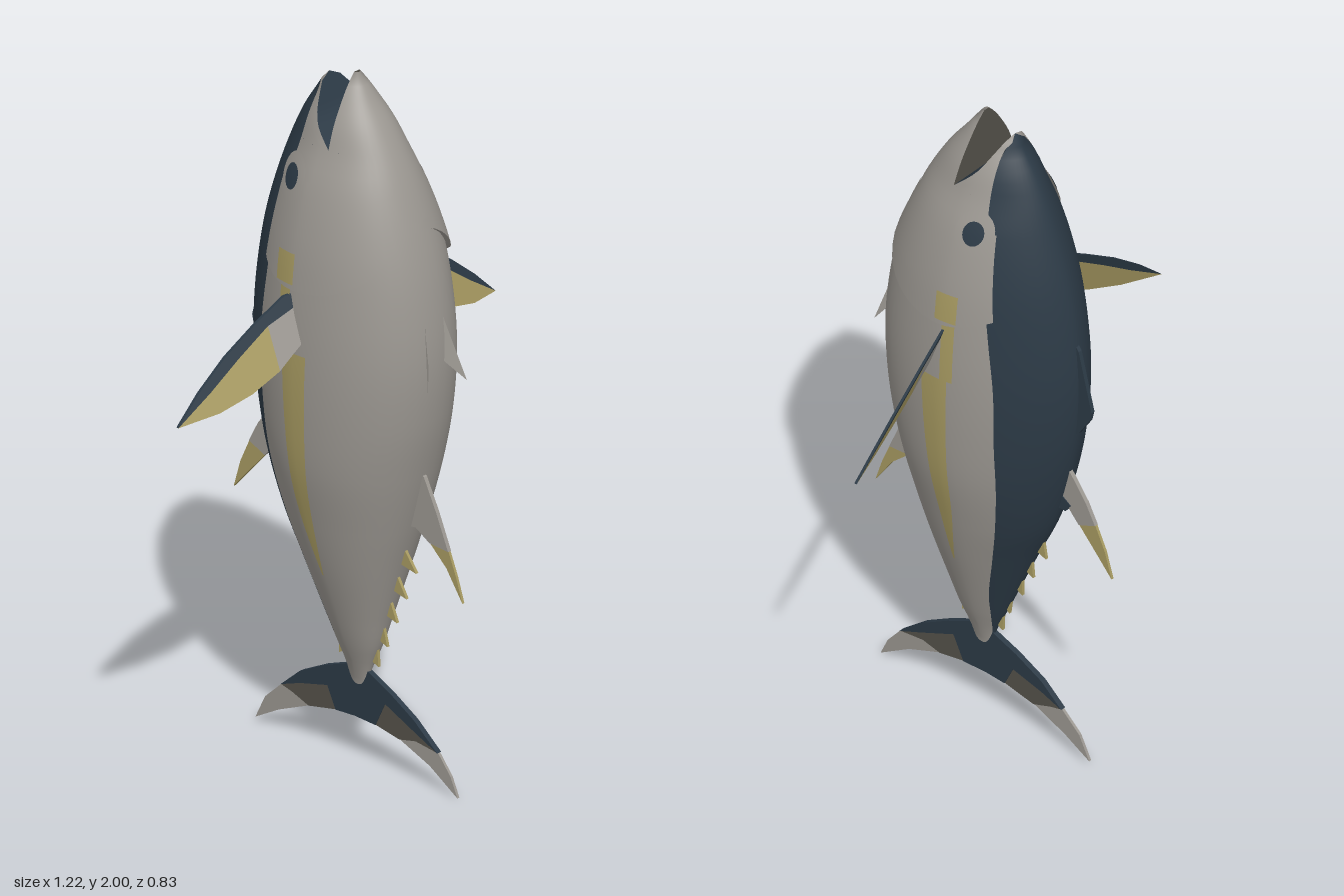
import * as THREE from 'three';

const mat = (name, color, side = THREE.FrontSide) => {
  const m = new THREE.MeshStandardMaterial({ color, side });
  m.name = name;
  return m;
};

// Smooth lookup through rows of [y, value, value, ...]
function table(rows) {
  const n = rows[0].length - 1;
  const f = new THREE.CubicInterpolant(rows.map(r => r[0]), rows.flatMap(r => r.slice(1)), n);
  return y => Array.from(f.evaluate(THREE.MathUtils.clamp(y, rows[0][0], rows[rows.length - 1][0])));
}

// Body sections: y, back z, belly z, half width, z where the dark back ends
const section = table([
  [0.22, 0.01, 0.065, 0.006, 0.012], [0.27, 0, 0.078, 0.02, 0.003], [0.36, -0.04, 0.115, 0.053, -0.015],
  [0.44, -0.075, 0.14, 0.08, -0.03], [0.6, -0.145, 0.19, 0.132, -0.075], [0.73, -0.205, 0.23, 0.168, -0.11],
  [0.9, -0.257, 0.275, 0.207, -0.14], [1.06, -0.288, 0.308, 0.223, -0.148], [1.24, -0.3, 0.322, 0.227, -0.15],
  [1.42, -0.285, 0.306, 0.217, -0.13], [1.56, -0.257, 0.275, 0.2, -0.11], [1.71, -0.21, 0.222, 0.163, -0.09],
  [1.8, -0.175, 0.178, 0.126, -0.075], [1.87, -0.14, 0.135, 0.1, -0.07], [1.93, -0.1, 0.09, 0.068, -0.068],
  [1.97, -0.07, 0.062, 0.042, -0.07], [2, 0.02, 0.04, 0.01, 0.03],
]);
const power = t => (t < 0 ? 1.68 : 2.12); // keeled back, fuller belly

function level(x, y, z) {
  const [b, f, w] = section(y);
  const t = (2 * z - b - f) / (f - b), p = power(t);
  return Math.pow(Math.abs(x) / w, p) + Math.pow(Math.abs(t), p);
}
function halfWidth(y, z) {
  const [b, f, w] = section(y);
  const t = THREE.MathUtils.clamp((2 * z - b - f) / (f - b), -1, 1), p = power(t);
  return w * Math.pow(Math.max(0, 1 - Math.pow(Math.abs(t), p)), 1 / p);
}
function skinNormal(x, y, z) {
  const e = 0.001;
  return new THREE.Vector3(
    level(x + e, y, z) - level(x - e, y, z),
    (level(x, y + e, z) - level(x, y - e, z)) * (y > 1.97 || y < 0.23 ? 0.5 : 1),
    level(x, y, z + e) - level(x, y, z - e)).normalize();
}

// Grid geometry from a point function
function grid(nu, nv, flip, point) {
  const pos = [], nor = [], idx = [];
  for (let j = 0; j <= nv; j++) for (let i = 0; i <= nu; i++) {
    const { p, n } = point(i / nu, j / nv);
    pos.push(p.x, p.y, p.z);
    if (n) nor.push(n.x, n.y, n.z);
  }
  for (let j = 0; j < nv; j++) for (let i = 0; i < nu; i++) {
    const a = j * (nu + 1) + i, b = a + 1, c = a + nu + 1, d = c + 1;
    if (flip) idx.push(a, b, c, b, d, c);
    else idx.push(a, c, b, b, c, d);
  }
  const g = new THREE.BufferGeometry();
  g.setAttribute('position', new THREE.Float32BufferAttribute(pos, 3));
  g.setIndex(idx);
  if (nor.length) g.setAttribute('normal', new THREE.Float32BufferAttribute(nor, 3));
  else g.computeVertexNormals();
  return g;
}

export function createModel() {
  const root = new THREE.Group();
  root.name = 'fish';
  const two = THREE.DoubleSide;
  const silver = mat('silver', 0x9c9892), navy = mat('navy', 0x2c3a46);
  const yellow = mat('yellow', 0xa89b62, two), olive = mat('olive', 0x55524a, two);
  const finSilver = silver, lerp = THREE.MathUtils.lerp;
  silver.side = two;
  navy.side = two;

  const add = (name, geo, m) => {
    const mesh = new THREE.Mesh(geo, m);
    mesh.name = name;
    root.add(mesh);
    return mesh;
  };

  // Skin patch on both flanks; at(u, v) gives [y, z, lift]
  function skin(name, m, nu, nv, at, smooth = true) {
    for (const s of [1, -1]) {
      add(name, grid(nu, nv, s < 0, (u, v) => {
        const [y, z0, lift = 0] = at(u, v);
        const [b, f] = section(y);
        const z = THREE.MathUtils.clamp(z0, b, f), x = s * halfWidth(y, z);
        const n = skinNormal(x, y, z);
        return { p: new THREE.Vector3(x, y, z).addScaledVector(n, lift), n: smooth ? n : null };
      }), m);
    }
  }
  // Band between two z limits, spaced evenly around the section
  function band(name, m, y0, y1, zA, zB, nu, nv, lift = 0) {
    skin(name, m, nu, nv, (u, v) => {
      const y = lerp(y0, y1, v), [b, f] = section(y), c = (b + f) / 2, h = (f - b) / 2;
      const ang = z => Math.asin(THREE.MathUtils.clamp((z - c) / h, -1, 1));
      return [y, c + h * Math.sin(lerp(ang(zA(y)), ang(zB(y)), u)), lift];
    });
  }

  const back = y => section(y)[0], belly = y => section(y)[1], edge = y => section(y)[3];
  const MOUTH = 1.81;
  const upperTable = table([[1.81, 0.04], [1.87, -0.02], [1.93, -0.052], [1.97, -0.07]]);
  const upperLip = y => upperTable(y)[0];
  const lowerLip = y => lerp(0.04, 0.03, (y - MOUTH) / 0.19);

  // Body and jaws
  band('back', navy, 0.22, 1.97, back, edge, 9, 60);
  band('flank', silver, 0.22, MOUTH, edge, belly, 16, 56);
  band('upperJaw', silver, MOUTH, 1.97, edge, upperLip, 5, 10);
  band('lowerJaw', silver, MOUTH, 2, lowerLip, belly, 10, 12);
  const inner = (lip, y1, flip) => grid(6, 10, flip, (u, v) => {
    const y = lerp(MOUTH, y1, v), z = lip(y);
    return { p: new THREE.Vector3((u * 2 - 1) * halfWidth(y, z), y, z) };
  });
  add('mouthRoof', inner(upperLip, 1.97, true), navy);
  add('mouthFloor', inner(lowerLip, 2, false), olive);

  // Yellow side stripe
  const stripe = table([[0.58, 0.028, 0.032], [0.8, -0.01, 0.037], [1, -0.02, 0.048], [1.24, -0.027, 0.058]]);
  band('sideStripe', yellow, 0.58, 1.25, y => stripe(y)[0], y => stripe(y)[1], 4, 24, 0.004);
  band('upperStripe', yellow, 1.25, 1.44, () => -0.043, () => -0.005, 3, 8, 0.004);

  // Gill covers: raised shell with a closing rim
  const gill = new THREE.SplineCurve([[-0.14, 1.47], [-0.02, 1.432], [0.11, 1.442], [0.215, 1.5], [0.262, 1.61]]
    .map(p => new THREE.Vector2(...p)));
  const gillLift = u => 0.002 + 0.011 * Math.min(1, 6 * u, 6 * (1 - u));
  skin('gillCover', silver, 20, 8, (u, v) => {
    const p = gill.getPoint(u);
    return [lerp(p.y, 1.72, v), p.x * (1 - 0.2 * v), lerp(gillLift(u), 0.001, v)];
  });
  skin('gillRim', silver, 20, 1, (u, v) => {
    const p = gill.getPoint(u);
    return [p.y, p.x, lerp(-0.004, gillLift(u), v)];
  }, false);
  band('cheekPatch', yellow, 1.445, 1.53, () => -0.05, () => 0.012, 4, 5, 0.0145);

  // Eyes
  const disc = (name, m, r, lift) => skin(name, m, 4, 24, (u, v) => {
    const a = v * Math.PI * 2;
    return [1.715 + u * r * 1.2 * Math.sin(a), -0.057 + u * r * Math.cos(a), lift];
  });
  disc('eyeRing', silver, 0.052, 0.005);
  disc('pupil', navy, 0.028, 0.009);

  // Flat fins outlined in (z, y), centred on x = 0
  function plate(points, d) {
    const g = new THREE.ExtrudeGeometry(new THREE.Shape(points.map(p => new THREE.Vector2(...p))),
      { depth: d, bevelEnabled: false });
    return g.translate(0, 0, -d / 2);
  }
  const fin = (name, m, points, d = 0.012) => add(name, plate(points, d).rotateY(-Math.PI / 2), m);

  fin('tailRoot', navy, [[0.078, 0.275], [0.16, 0.235], [0.245, 0.185], [0.33, 0.115], [0.25, 0.15], [0.14, 0.2],
    [0.105, 0.128], [0.03, 0.132], [-0.04, 0.128], [-0.07, 0.19], [-0.17, 0.165], [-0.24, 0.14], [-0.17, 0.2],
    [-0.08, 0.245], [0, 0.275]], 0.016);
  fin('tailMiddle', olive, [[0.33, 0.115], [0.25, 0.15], [0.14, 0.2], [0.105, 0.128], [0.19, 0.112], [0.25, 0.125]]);
  fin('tailMiddle', olive, [[-0.24, 0.14], [-0.17, 0.165], [-0.07, 0.19], [-0.04, 0.128], [-0.14, 0.108], [-0.2, 0.13]]);
  fin('tailTip', finSilver, [[0.33, 0.115], [0.25, 0.125], [0.19, 0.112], [0.3, 0.068], [0.4, 0.005], [0.375, 0.06]], 0.008);
  fin('tailTip', finSilver, [[-0.24, 0.14], [-0.2, 0.13], [-0.14, 0.108], [-0.25, 0.062], [-0.335, 0.015], [-0.3, 0.085]], 0.008);

  fin('firstDorsalFin', navy, [[-0.27, 1.4], [-0.3, 1.36], [-0.345, 1.18], [-0.338, 1.15], [-0.3, 1.09], [-0.25, 1.06]]);
  fin('secondDorsalFin', finSilver, [[-0.23, 0.97], [-0.262, 0.955], [-0.325, 0.87], [-0.357, 0.81], [-0.3, 0.785],
    [-0.24, 0.85], [-0.2, 0.84]]);
  fin('secondDorsalTip', yellow, [[-0.357, 0.81], [-0.39, 0.74], [-0.414, 0.66], [-0.36, 0.72], [-0.3, 0.785]], 0.008);
  fin('dorsalBase', navy, [[-0.21, 0.87], [-0.25, 0.85], [-0.273, 0.835], [-0.255, 0.81], [-0.2, 0.81]], 0.016);
  fin('analFin', finSilver, [[0.24, 0.92], [0.28, 0.9], [0.325, 0.81], [0.368, 0.71], [0.3, 0.715], [0.25, 0.745], [0.2, 0.74]]);
  fin('analFinTip', yellow, [[0.368, 0.71], [0.395, 0.645], [0.418, 0.575], [0.36, 0.66], [0.3, 0.715]], 0.008);

  // Finlets along both edges
  const tips = [[0.25, 0.61], [0.215, 0.525], [0.18, 0.445], [0.145, 0.365], [0.113, 0.297],
    [-0.183, 0.61], [-0.138, 0.525], [-0.1, 0.448], [-0.054, 0.365], [-0.03, 0.297]];
  for (const [z, y] of tips) {
    const rim = z > 0 ? belly : back, inset = z > 0 ? -0.006 : 0.006;
    fin('finlet', yellow, [[z, y], [rim(y + 0.06) + inset, y + 0.06], [rim(y + 0.01) + inset, y + 0.012]], 0.009);
  }

  // Paired fins
  for (const s of [1, -1]) {
    // Pectoral fins, swept back and tilted
    const pectoral = (name, m, points) => {
      const g = plate(points, 0.008), p = g.attributes.position;
      for (let i = 0; i < p.count; i++) {
        const x = p.getX(i), y = p.getY(i);
        const mid = 1.345 - 0.526 * (x - 0.22);
        p.setXYZ(i, x, y, p.getZ(i) + 0.015 - 0.155 * (x - 0.22) - 0.38 * (y - mid));
      }
      g.computeVertexNormals();
      if (s < 0) {
        g.scale(-1, 1, 1);
        for (let i = 0; i < p.count; i += 3) { // restore winding after mirroring
          const a = new THREE.Vector3().fromBufferAttribute(p, i + 1), b = new THREE.Vector3().fromBufferAttribute(p, i + 2);
          p.setXYZ(i + 1, b.x, b.y, b.z);
          p.setXYZ(i + 2, a.x, a.y, a.z);
        }
        g.computeVertexNormals();
      }
      add(name, g, m);
    };
    pectoral('pectoralEdge', navy, [[0.2, 1.415], [0.235, 1.41], [0.33, 1.357], [0.435, 1.29], [0.53, 1.215], [0.61, 1.14],
      [0.5, 1.21], [0.4, 1.28], [0.3, 1.345], [0.2, 1.385]]);
    pectoral('pectoralRoot', finSilver, [[0.2, 1.385], [0.3, 1.345], [0.3, 1.228], [0.25, 1.265], [0.2, 1.3]]);
    pectoral('pectoralBlade', yellow, [[0.3, 1.345], [0.4, 1.28], [0.5, 1.21], [0.61, 1.14], [0.49, 1.155], [0.39, 1.185], [0.3, 1.228]]);

    // Pelvic fins
    const pelvic = new THREE.BufferGeometry();
    pelvic.setAttribute('position', new THREE.Float32BufferAttribute(
      [s * 0.03, 1.385, 0.305, s * 0.075, 1.18, 0.36, s * 0.028, 1.24, 0.318], 3));
    pelvic.setIndex(s > 0 ? [0, 2, 1] : [0, 1, 2]);
    pelvic.computeVertexNormals();
    add('pelvicFin', pelvic, finSilver);
  }
  return root;
}
